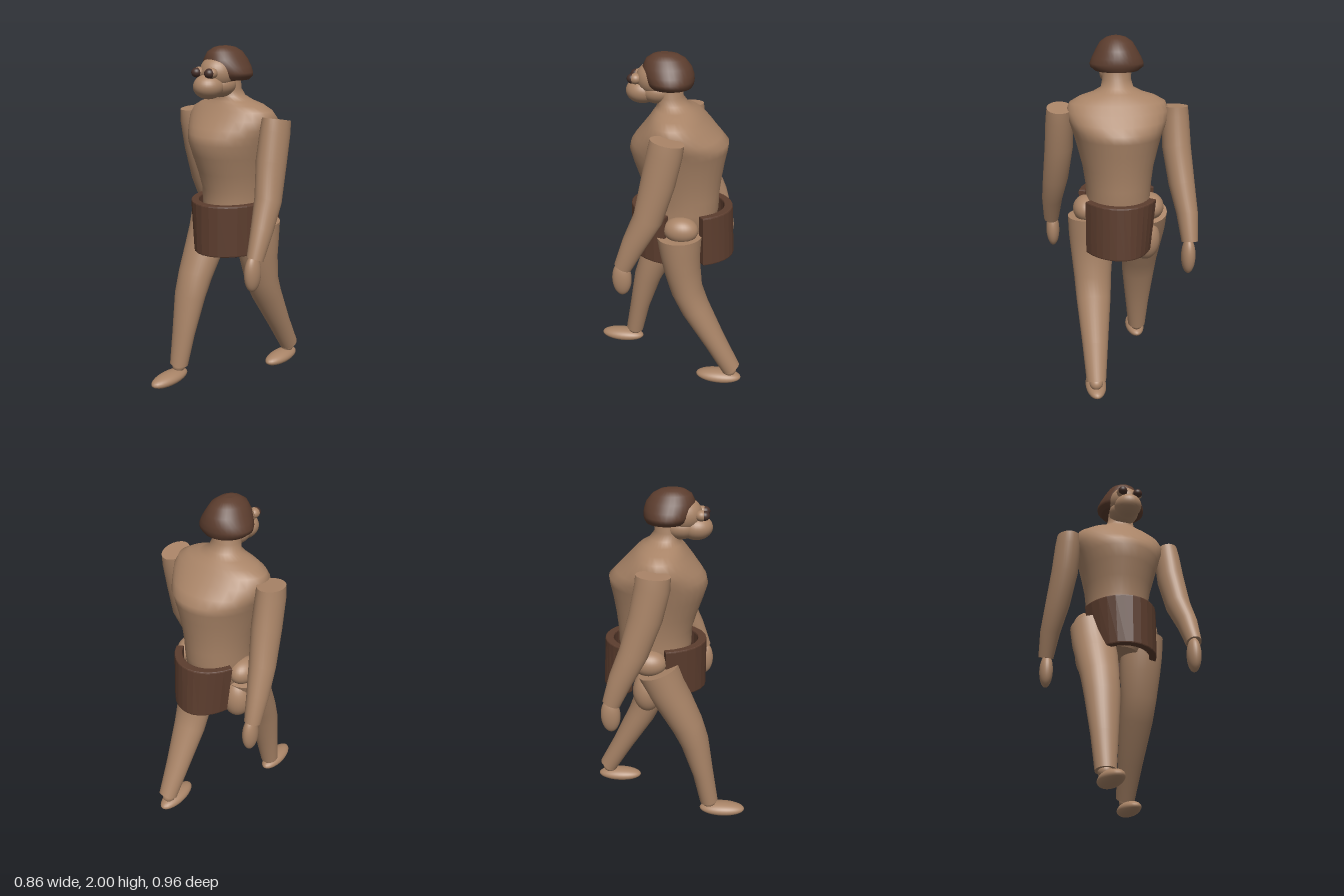
import * as THREE from 'three';

const skin = new THREE.MeshStandardMaterial({ color: 0xa98467 });
skin.name = 'skin';
const brown = new THREE.MeshStandardMaterial({ color: 0x5c3d2e });
brown.name = 'dark brown';
const eyeDark = new THREE.MeshStandardMaterial({ color: 0x46302a });
eyeDark.name = 'eye brown';

const SIDES = 32;

// Closed skin over rings listed from top to bottom; each ring is {c, u, w}
function loft(name, rings, material) {
  const pos = [], index = [];
  const point = (r, a) => r.c.clone().addScaledVector(r.u, Math.cos(a)).addScaledVector(r.w, Math.sin(a));
  const addRing = (r) => {
    const start = pos.length / 3;
    for (let i = 0; i < SIDES; i++) pos.push(...point(r, (i / SIDES) * Math.PI * 2).toArray());
    return start;
  };
  const starts = rings.map(addRing);
  for (let k = 0; k < rings.length - 1; k++) {
    for (let i = 0; i < SIDES; i++) {
      const j = (i + 1) % SIDES, a = starts[k], b = starts[k + 1];
      index.push(a + i, a + j, b + i, a + j, b + j, b + i);
    }
  }
  // separate cap vertices keep the end edges crisp
  [rings[0], rings[rings.length - 1]].forEach((r, end) => {
    const s = addRing(r), mid = pos.length / 3;
    pos.push(...r.c.toArray());
    for (let i = 0; i < SIDES; i++) {
      const j = (i + 1) % SIDES;
      if (end === 0) index.push(mid, s + j, s + i);
      else index.push(mid, s + i, s + j);
    }
  });
  const g = new THREE.BufferGeometry();
  g.setAttribute('position', new THREE.Float32BufferAttribute(pos, 3));
  g.setIndex(index);
  g.computeVertexNormals();
  const mesh = new THREE.Mesh(g, material);
  mesh.name = name;
  return mesh;
}

// Upright body from rows of [y, halfWidth, zFront, zBack]
function body(name, rows, material) {
  return loft(name, rows.map(([y, rx, zf, zb]) => ({
    c: new THREE.Vector3(0, y, (zf + zb) / 2),
    u: new THREE.Vector3(rx, 0, 0),
    w: new THREE.Vector3(0, 0, (zf - zb) / 2),
  })), material);
}

// Limb from rows of [x, y, z, rx, rz], its rings tilted to follow the bend
function limb(name, rows, side) {
  return loft(name, rows.map(([x, y, z, rx, rz], i) => {
    const p = rows[Math.max(i - 1, 0)], q = rows[Math.min(i + 1, rows.length - 1)];
    const len = Math.hypot(q[1] - p[1], q[2] - p[2]);
    const ty = (q[1] - p[1]) / len, tz = (q[2] - p[2]) / len;
    return {
      c: new THREE.Vector3(x * side, y, z),
      u: new THREE.Vector3(rx, 0, 0),
      w: new THREE.Vector3(0, tz, -ty).multiplyScalar(rz * Math.abs(ty)),
    };
  }), skin);
}

function ellipsoid(name, [x, y, z], [rx, ry, rz], material = skin) {
  const mesh = new THREE.Mesh(new THREE.SphereGeometry(1, 28, 20), material);
  mesh.name = name;
  mesh.position.set(x, y, z);
  mesh.scale.set(rx, ry, rz);
  return mesh;
}

// Curved loincloth panel: an elliptical band between two angles (degrees)
function panel(name, from, to, rz, height) {
  const shape = new THREE.Shape(), steps = 12, pts = [];
  for (const [k, rev] of [[1, false], [0.87, true]]) {
    for (let i = 0; i <= steps; i++) {
      const t = (rev ? steps - i : i) / steps;
      const a = THREE.MathUtils.degToRad(from + (to - from) * t);
      pts.push(new THREE.Vector2(0.22 * k * Math.cos(a), rz * k * Math.sin(a)));
    }
  }
  shape.setFromPoints(pts);
  const g = new THREE.ExtrudeGeometry(shape, {
    depth: height - 0.016, bevelThickness: 0.008, bevelSize: 0.006, bevelSegments: 2,
  });
  g.rotateX(Math.PI / 2); // the band hangs downward from its top edge
  const p = g.attributes.position;
  for (let i = 0; i < p.count; i++) {
    const t = -p.getY(i) / height;
    if (p.getX(i) < 0) p.setX(i, p.getX(i) * (1 - 0.16 * t));
    if (p.getZ(i) < 0) p.setZ(i, p.getZ(i) * (1 + 0.06 * t));
  }
  g.computeVertexNormals();
  const mesh = new THREE.Mesh(g, brown);
  mesh.name = name;
  mesh.position.set(0, 1.13, -0.08);
  return mesh;
}

export function createModel() {
  const model = new THREE.Group();
  model.name = 'walkingFigure';

  // Torso with neck, broad chest and narrow waist
  model.add(body('torso', [
    [1.84, 0.075, 0.07, -0.08], [1.77, 0.08, 0.07, -0.08], [1.73, 0.09, 0.06, -0.11],
    [1.705, 0.14, 0.07, -0.14], [1.685, 0.21, 0.085, -0.17], [1.655, 0.265, 0.105, -0.2],
    [1.61, 0.285, 0.14, -0.245], [1.56, 0.275, 0.18, -0.295], [1.52, 0.26, 0.207, -0.335],
    [1.475, 0.245, 0.217, -0.33], [1.4, 0.225, 0.195, -0.315], [1.3, 0.2, 0.16, -0.3],
    [1.2, 0.186, 0.13, -0.29], [1.13, 0.182, 0.13, -0.29], [1.0, 0.18, 0.12, -0.27],
    [0.88, 0.12, 0.06, -0.2],
  ], skin));

  // Loincloth
  model.add(panel('frontLoincloth', 14, 164, 0.29, 0.3));
  model.add(panel('backLoincloth', 211, 329, 0.285, 0.3));

  // Head
  model.add(body('hair', [
    [2.0, 0.025, 0.055, -0.01], [1.992, 0.055, 0.085, -0.05], [1.97, 0.088, 0.12, -0.09],
    [1.93, 0.113, 0.14, -0.122], [1.89, 0.135, 0.135, -0.136], [1.86, 0.148, 0.125, -0.138],
    [1.84, 0.146, 0.115, -0.135], [1.82, 0.12, 0.1, -0.125],
  ], brown));
  model.add(ellipsoid('face', [0, 1.86, 0.07], [0.098, 0.095, 0.108]));
  model.add(ellipsoid('muzzle', [0, 1.79, 0.145], [0.082, 0.068, 0.09]));
  model.add(ellipsoid('jaw', [0, 1.795, 0.06], [0.09, 0.07, 0.1]));
  for (const s of [-1, 1]) {
    model.add(ellipsoid('eyeSocket', [s * 0.048, 1.865, 0.172], [0.032, 0.029, 0.033]));
    model.add(ellipsoid('eye', [s * 0.048, 1.865, 0.19], [0.028, 0.026, 0.028], eyeDark));
    model.add(ellipsoid('hip', [s * 0.185, 1.055, -0.1], [0.075, 0.075, 0.1]));
  }

  // Arms: the left swings forward, the right swings back
  const armZ = { 1: [-0.047, -0.035, 0, 0.05, 0.125, 0.19], '-1': [-0.06, -0.065, -0.1, -0.165, -0.235, -0.292] };
  const armRows = [
    [0.32, 1.625, 0.07, 0.092], [0.322, 1.56, 0.076, 0.096], [0.327, 1.4, 0.08, 0.095],
    [0.35, 1.2, 0.073, 0.086], [0.372, 1.05, 0.06, 0.074], [0.38, 0.9, 0.045, 0.055],
  ];
  for (const s of [1, -1]) {
    const label = s > 0 ? 'left' : 'right';
    model.add(limb(label + 'Arm', armRows.map(([x, y, rx, rz], i) => [x, y, armZ[s][i], rx, rz]), s));
    model.add(ellipsoid(label + 'Hand', [s * 0.373, 0.82, s > 0 ? 0.2 : -0.3], [0.04, 0.105, 0.055]));
  }

  // Legs in mid stride: the left trails, the right leads
  model.add(limb('leftLeg', [
    [0.165, 1.01, -0.09, 0.125, 0.13], [0.16, 0.9, -0.095, 0.126, 0.118], [0.155, 0.8, -0.105, 0.122, 0.108],
    [0.155, 0.65, -0.135, 0.108, 0.096], [0.155, 0.53, -0.185, 0.1, 0.095], [0.158, 0.3, -0.31, 0.075, 0.075],
    [0.162, 0.11, -0.415, 0.056, 0.066],
  ], 1));
  model.add(limb('rightLeg', [
    [0.165, 1.01, -0.05, 0.125, 0.13], [0.16, 0.9, -0.01, 0.126, 0.125], [0.155, 0.8, 0.04, 0.122, 0.12],
    [0.155, 0.65, 0.115, 0.108, 0.105], [0.155, 0.53, 0.162, 0.1, 0.088], [0.158, 0.3, 0.218, 0.075, 0.064],
    [0.162, 0.1, 0.258, 0.056, 0.056],
  ], -1));
  model.add(ellipsoid('rightButtock', [-0.155, 0.86, -0.115], [0.085, 0.125, 0.085]));

  // Ankles and feet
  for (const s of [1, -1]) {
    const label = s > 0 ? 'left' : 'right';
    model.add(ellipsoid(label + 'Ankle', [s * 0.162, 0.095, s > 0 ? -0.405 : 0.257], [0.04, 0.04, 0.045]));
    model.add(ellipsoid(label + 'Foot', [s * 0.16, 0.04, s * -0.341], [0.06, 0.04, 0.139]));
  }
  return model;
}
